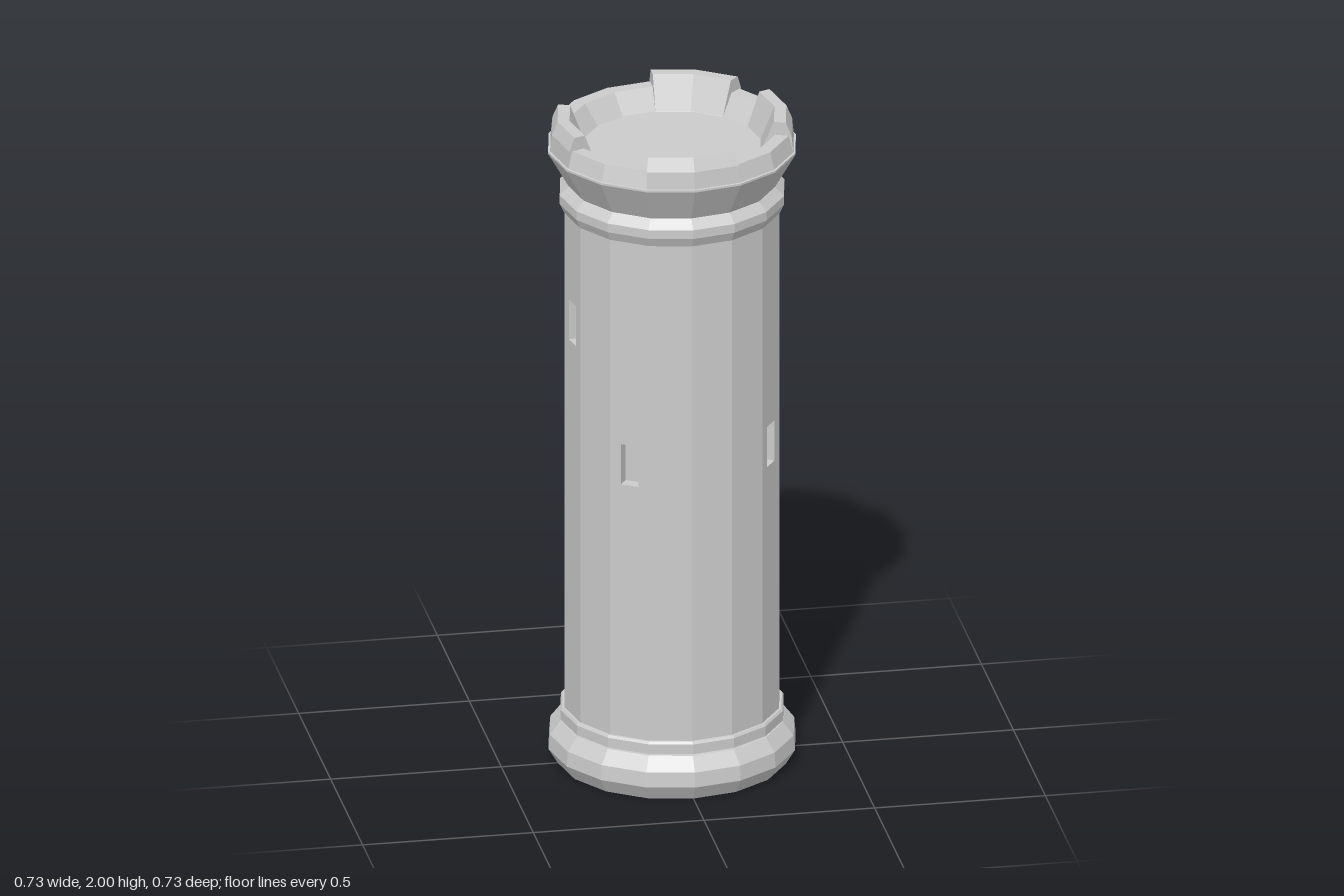
import * as THREE from 'three';

const SIDES = 16;
const STEP = (Math.PI * 2) / SIDES;
const R = 0.315; // shaft radius
const FACET = 2 * R * Math.sin(STEP / 2);
const APOTHEM = R * Math.cos(STEP / 2);
const Y0 = 0.16, Y1 = 1.73; // shaft ends

const stone = new THREE.MeshStandardMaterial({ color: 0xcccccc, flatShading: true });
const stoneThin = new THREE.MeshStandardMaterial({ color: 0xcccccc, flatShading: true, side: THREE.DoubleSide });

const vecs = (pts) => pts.map(([r, y]) => new THREE.Vector2(r, y));

function add(parent, name, geometry, material = stone) {
  const mesh = new THREE.Mesh(geometry, material);
  mesh.name = name;
  parent.add(mesh);
  return mesh;
}

// Full 16-sided ring from a profile running bottom to top
const ring = (pts) => new THREE.LatheGeometry(vecs(pts), SIDES);

// Window centres by facet: facet i faces angle (i + 0.5) * STEP, from +x towards +z
const windows = { 1: [1.02], 5: [1.02], 7: [1.395], 9: [1.04], 12: [1.04, 0.52], 15: [1.395, 0.52] };
const WIN_W = 0.055, WIN_H = 0.125, WIN_D = 0.035;

function rect(w, y0, y1, Type) {
  return new Type(vecs([[-w / 2, y0], [w / 2, y0], [w / 2, y1], [-w / 2, y1]]));
}

// One flat side of the shaft, with its window openings cut through
function wallPanel(i) {
  const shape = rect(FACET, Y0, Y1, THREE.Shape);
  for (const y of windows[i] ?? []) {
    shape.holes.push(rect(WIN_W, y - WIN_H / 2, y + WIN_H / 2, THREE.Path));
  }
  const geo = new THREE.ExtrudeGeometry(shape, { depth: WIN_D, bevelEnabled: false });
  geo.translate(0, 0, APOTHEM - WIN_D);
  geo.rotateY(Math.PI / 2 - (i + 0.5) * STEP);
  return geo;
}

// Raised battlement block between two corner numbers
function merlon(from, to) {
  const group = new THREE.Group();
  group.name = 'merlon';
  const profile = [[0.357, 1.908], [0.352, 1.96], [0.335, 2], [0.3, 2], [0.26, 1.901]];
  add(group, 'merlonBody', new THREE.LatheGeometry(
    vecs(profile), to - from, Math.PI / 2 - to * STEP, (to - from) * STEP));
  for (const corner of [from, to]) {
    const end = new THREE.ShapeGeometry(new THREE.Shape(vecs(profile)));
    end.rotateY(-corner * STEP);
    add(group, 'merlonEnd', end, stoneThin);
  }
  return group;
}

export function createModel() {
  const tower = new THREE.Group();
  tower.name = 'tower';

  // Foot and the thin band above it
  add(tower, 'base', ring([
    [0, 0], [0.335, 0], [0.362, 0.045], [0.358, 0.09], [0.327, 0.13], [0.3, 0.13]]));
  add(tower, 'baseBand', ring([
    [0.3, 0.13], [0.327, 0.135], [0.327, 0.165], [0.322, 0.172], [0.3, 0.172]]));

  // Shaft: panels around a core that closes the window recesses
  const shaft = new THREE.Group();
  shaft.name = 'shaft';
  for (let i = 0; i < SIDES; i++) add(shaft, 'wallPanel', wallPanel(i));
  const coreR = (APOTHEM - WIN_D + 0.001) / Math.cos(STEP / 2);
  add(shaft, 'core', new THREE.CylinderGeometry(coreR, coreR, Y1 - Y0, SIDES)
    .translate(0, (Y0 + Y1) / 2, 0));
  tower.add(shaft);

  // Collar, flared head and the low parapet rim
  add(tower, 'collar', ring([
    [0.3, 1.715], [0.316, 1.715], [0.329, 1.743], [0.329, 1.77], [0.303, 1.797], [0.28, 1.8]]));
  add(tower, 'flaredHead', ring([
    [0.28, 1.79], [0.302, 1.795], [0.363, 1.902], [0.363, 1.908], [0.35, 1.91]]));
  add(tower, 'parapet', ring([
    [0.357, 1.908], [0.343, 1.96], [0.303, 1.96], [0.26, 1.9], [0, 1.9]]));

  // Battlements at east, south, west and north-north-east
  for (const [from, to] of [[-1, 1], [3, 5], [7, 9], [12, 14]]) tower.add(merlon(from, to));

  return tower;
}
